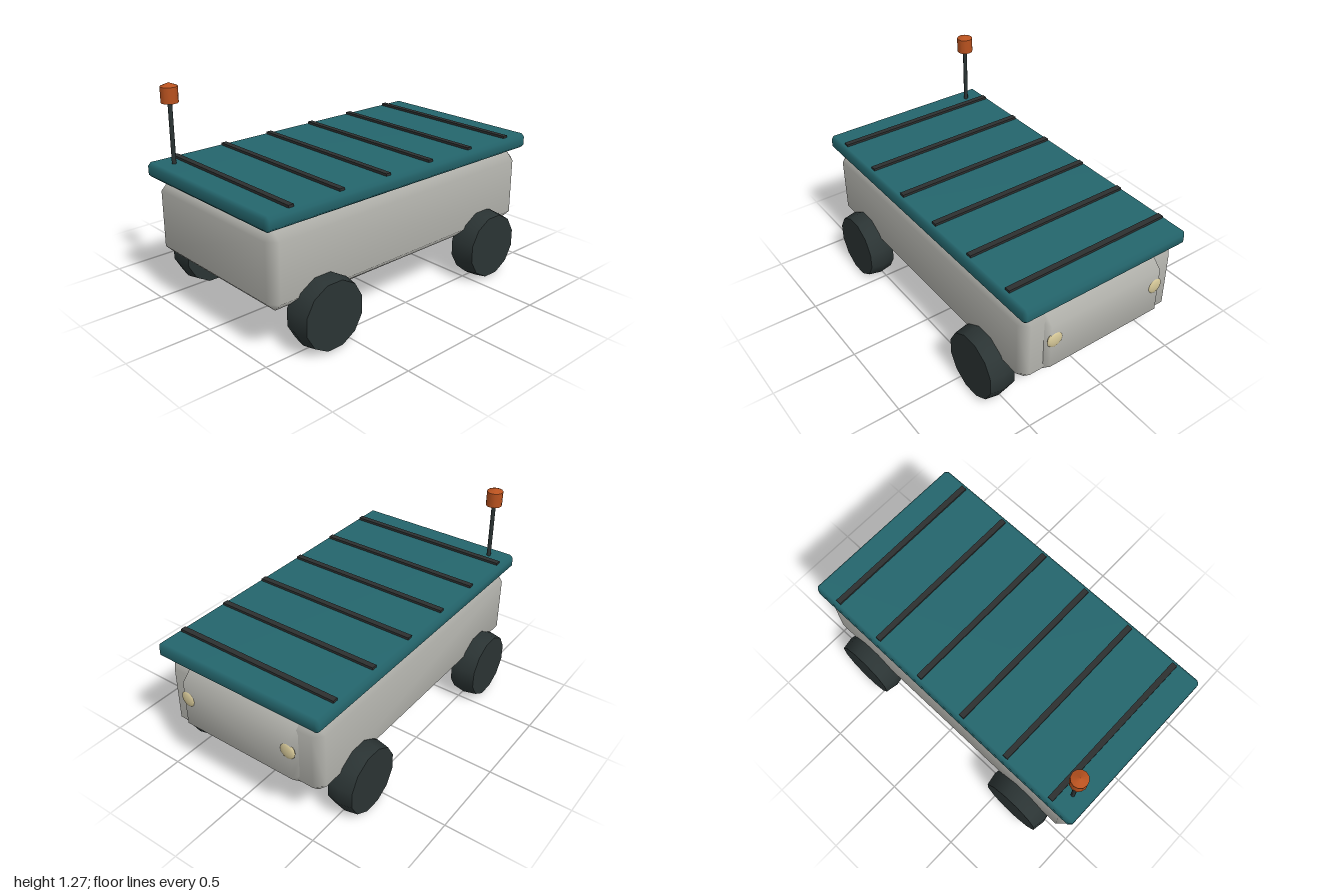
import * as THREE from 'three';
import { mergeVertices, toCreasedNormals } from 'three/addons/utils/BufferGeometryUtils.js';
import { ConvexGeometry } from 'three/addons/geometries/ConvexGeometry.js';

const material = (name, color) => {
  const m = new THREE.MeshStandardMaterial({ color });
  m.name = name;
  return m;
};

// Box between min and max, with chamfers of depth c along each axis and softened normals
function chamferBox(min, max, c) {
  const points = [];
  const axes = ['x', 'y', 'z'];
  const lo = new THREE.Vector3(...min), hi = new THREE.Vector3(...max);
  const inset = new THREE.Vector3(...c);
  for (const sx of [0, 1]) for (const sy of [0, 1]) for (const sz of [0, 1]) {
    const side = { x: sx, y: sy, z: sz };
    for (const flat of axes) {
      const p = new THREE.Vector3();
      for (const a of axes) {
        const d = a === flat ? 0 : inset[a];
        p[a] = side[a] ? hi[a] - d : lo[a] + d;
      }
      points.push(p);
    }
  }
  let geometry = new ConvexGeometry(points);
  geometry.deleteAttribute('normal');
  geometry = mergeVertices(geometry, 1e-4);
  geometry.computeVertexNormals();
  return geometry;
}

export function createModel() {
  const model = new THREE.Group();
  model.name = 'cargoRover';

  const shell = material('light grey shell', 0xb5b5af);
  const teal = material('teal deck', 0x24666d);
  const rubber = material('dark rubber', 0x2b3434);
  const rib = material('charcoal rib', 0x2d3030);
  const orange = material('orange beacon', 0xb9521f);
  const cream = material('cream lamp', 0xd6c898);

  const add = (name, geometry, mat, x = 0, y = 0, z = 0) => {
    const mesh = new THREE.Mesh(geometry, mat);
    mesh.name = name;
    mesh.position.set(x, y, z);
    model.add(mesh);
    return mesh;
  };

  // Hull and nose
  add('body', chamferBox([-0.96, 0.275, -0.52], [0.95, 0.71, 0.52], [0.05, 0.05, 0.05]), shell);
  add('nose', chamferBox([0.59, 0.257, -0.41], [0.99, 0.735, 0.41], [0.1, 0.1, 0.04]), shell);

  // Deck with cross ribs
  add('deck', chamferBox([-1, 0.733, -0.542], [0.988, 0.82, 0.542], [0.018, 0.018, 0.018]), teal);
  const ribGeometry = new THREE.BoxGeometry(0.034, 0.022, 1.035);
  for (let i = 0; i < 6; i++) add('deckRib', ribGeometry, rib, -0.83 + i * 0.329, 0.823, 0);

  // Wheels: twelve-sided barrels with a raised middle
  const profile = [[0, -0.078], [0.194, -0.078], [0.208, 0], [0.194, 0.078], [0, 0.078]]
    .map(([r, h]) => new THREE.Vector2(r, h));
  let wheelGeometry = new THREE.LatheGeometry(profile, 12, Math.PI / 12);
  wheelGeometry.rotateX(Math.PI / 2);
  wheelGeometry = toCreasedNormals(wheelGeometry, 0.7);
  for (const x of [-0.64, 0.625]) {
    for (const side of [-1, 1]) {
      add(side > 0 ? 'leftWheel' : 'rightWheel', wheelGeometry, rubber, x, 0.203, side * 0.538);
    }
  }

  // Headlamps: flattened domes
  const lampGeometry = new THREE.SphereGeometry(0.049, 12, 8);
  lampGeometry.rotateZ(Math.PI / 2);
  lampGeometry.scale(0.3, 1, 1);
  for (const z of [-0.345, 0.345]) add('headlamp', lampGeometry, cream, 0.985, 0.535, z);

  // Mast and beacon on the rear corner
  add('mast', new THREE.CylinderGeometry(0.0125, 0.0125, 0.37, 10), rubber, -0.9, 0.99, -0.415);
  add('beacon', new THREE.CylinderGeometry(0.048, 0.048, 0.09, 12), orange, -0.9, 1.21, -0.415);
  add('beaconCap', new THREE.ConeGeometry(0.048, 0.02, 12), orange, -0.9, 1.265, -0.415);

  return model;
}
